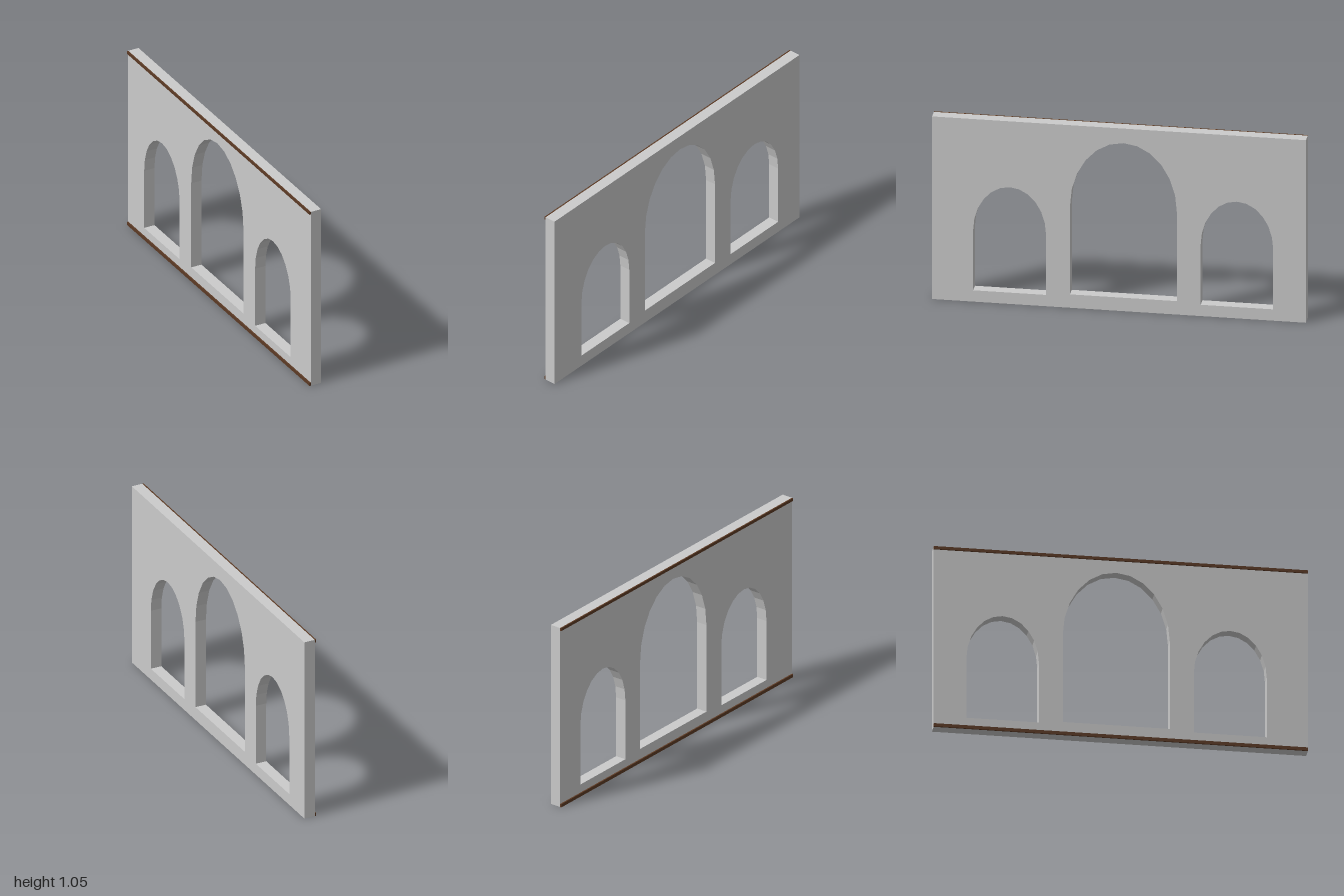
import * as THREE from 'three';

// Arched opening: straight jambs below a half-ellipse head
function archHole(center, half, sill, spring, top, segments = 12) {
  const points = [new THREE.Vector2(center - half, sill), new THREE.Vector2(center + half, sill)];
  for (let i = 0; i <= segments; i++) {
    const a = (Math.PI * i) / segments;
    points.push(new THREE.Vector2(center + half * Math.cos(a), spring + (top - spring) * Math.sin(a)));
  }
  return new THREE.Path(points);
}

export function createModel() {
  const group = new THREE.Group();
  group.name = 'archedWall';
  const height = 1.05, back = -0.027, front = 0.035, trimFace = -0.035;

  const grey = new THREE.MeshStandardMaterial({ color: 0xcccccc, flatShading: true });
  const brown = new THREE.MeshStandardMaterial({ color: 0x5c3a24, flatShading: true });

  // Wall slab, drawn with -z as the shape's horizontal axis
  const outline = new THREE.Shape([
    new THREE.Vector2(-1, 0), new THREE.Vector2(1, 0),
    new THREE.Vector2(1, height), new THREE.Vector2(-1, height),
  ]);
  outline.holes.push(
    archHole(-0.585, 0.195, 0.065, 0.41, 0.671),
    archHole(0.024, 0.286, 0.077, 0.585, 0.966),
    archHole(0.631, 0.194, 0.065, 0.41, 0.671),
  );
  const wallGeometry = new THREE.ExtrudeGeometry(outline, { depth: front - back, bevelEnabled: false });
  wallGeometry.rotateY(Math.PI / 2).translate(back, 0, 0);
  const wall = new THREE.Mesh(wallGeometry, grey);
  wall.name = 'wall';
  group.add(wall);

  // Thin rails along the top and bottom of one face
  const rails = [['baseTrim', 0, 0.018], ['topTrim', height - 0.016, height]];
  for (const [name, y0, y1] of rails) {
    const trim = new THREE.Mesh(new THREE.BoxGeometry(back - trimFace, y1 - y0, 2), brown);
    trim.position.set((back + trimFace) / 2, (y0 + y1) / 2, 0);
    trim.name = name;
    group.add(trim);
  }
  return group;
}
